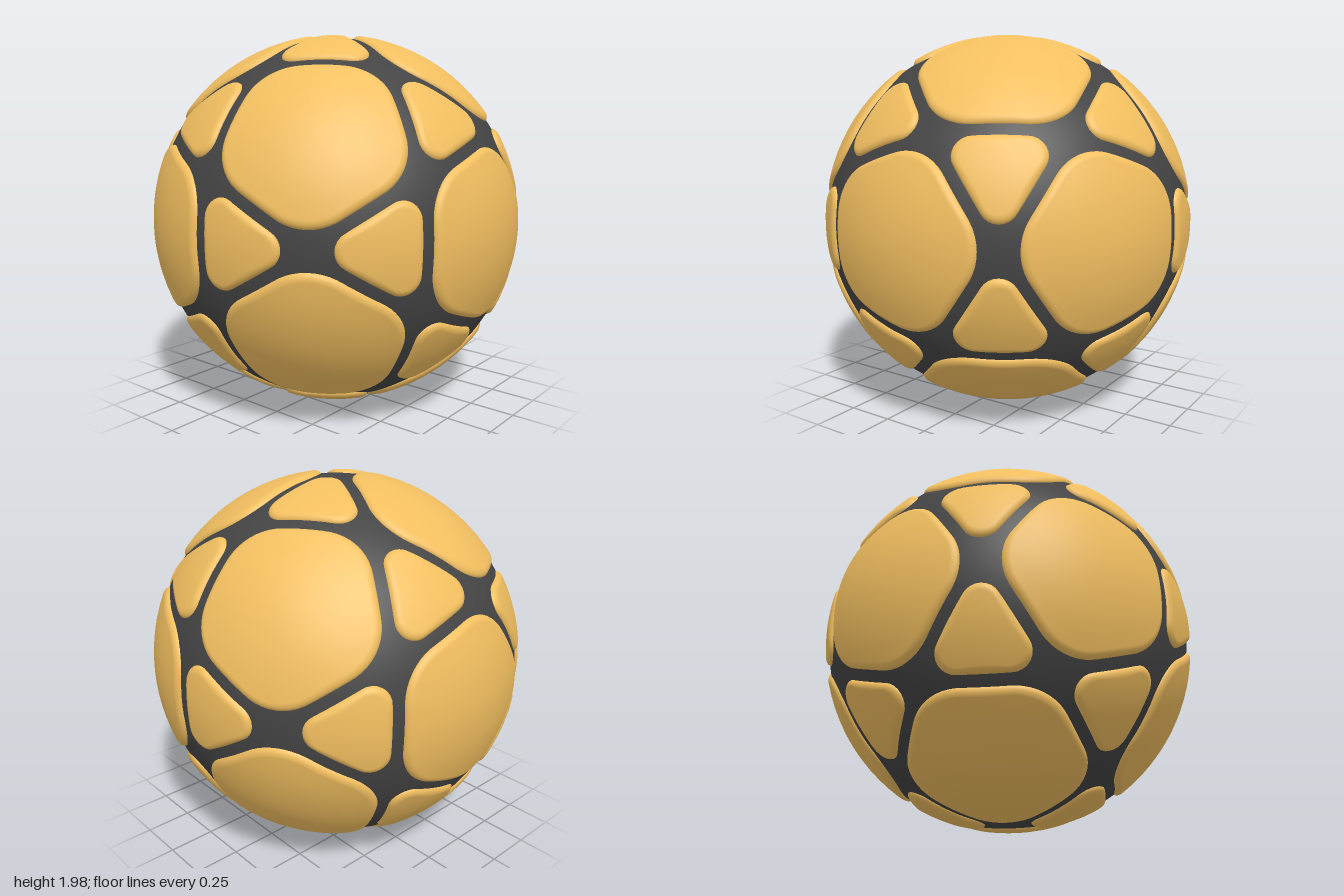
import * as THREE from 'three';

const SEAM_R = 0.98;   // dark core radius
const TILE_R = 1.0;    // outer tile radius
const FOOT_R = 0.972;  // tile rim, tucked just under the core
const BEVEL = 0.042;   // angular width of the rounded rim

// Distance from the centre to a rounded regular polygon with a corner at angle 0
function outline(angle, sides, inradius, corner) {
  const half = Math.PI / sides;
  let a = angle % (2 * half);
  if (a > half) a = 2 * half - a;            // 0 = corner, half = middle of an edge
  const miter = inradius / Math.cos(half);
  const r = (miter - corner) / (1 / Math.cos(half) - 1); // corner rounding radius
  const c = miter - r / Math.cos(half);      // centre of the corner arc
  const edge = inradius / Math.cos(half - a);
  // the straight edge begins where the arc touches it
  const touchX = c + r * Math.cos(half), touchY = r * Math.sin(half);
  if (a > Math.atan2(touchY, touchX)) return edge;
  return c * Math.cos(a) + Math.sqrt(r * r - (c * Math.sin(a)) ** 2);
}

// Domed tile around +z, its first corner towards +x
function tileGeometry(sides, edgeAngle, cornerAngle, segments) {
  const inradius = Math.tan(edgeAngle), corner = Math.tan(cornerAngle);
  const inner = 6, rim = 9, rings = inner + rim;
  const pos = [0, 0, TILE_R], index = [];
  for (let k = 1; k <= rings; k++) {
    for (let j = 0; j < segments; j++) {
      const a = (j / segments) * Math.PI * 2;
      const reach = Math.atan(outline(a, sides, inradius, corner)) + 0.003;
      let theta, radius = TILE_R;
      if (k <= inner) theta = (reach - BEVEL) * k / inner;
      else {
        const q = ((k - inner) / rim) * Math.PI / 2; // quarter-ellipse rim
        theta = reach - BEVEL + BEVEL * Math.sin(q);
        radius = FOOT_R + (TILE_R - FOOT_R) * Math.cos(q);
      }
      pos.push(radius * Math.sin(theta) * Math.cos(a), radius * Math.sin(theta) * Math.sin(a), radius * Math.cos(theta));
      const n = (j + 1) % segments, o = 1 + (k - 1) * segments, i = o - segments;
      if (k === 1) index.push(0, o + j, o + n);
      else index.push(i + j, o + j, o + n, i + j, o + n, i + n);
    }
  }
  const g = new THREE.BufferGeometry();
  g.setAttribute('position', new THREE.Float32BufferAttribute(pos, 3));
  g.setIndex(index);
  g.computeVertexNormals();
  return g;
}

// Twelve five-fold axes, one of them facing the front
function fiveFoldAxes() {
  const axes = [new THREE.Vector3(0, 0, 1)];
  for (let k = 0; k < 5; k++) {
    const a = k * Math.PI * 2 / 5;
    axes.push(new THREE.Vector3(2 * Math.cos(a), 2 * Math.sin(a), 1).normalize());
  }
  return axes.concat(axes.map(v => v.clone().negate()));
}

export function createModel() {
  const model = new THREE.Group();
  model.name = 'ball';
  const ball = new THREE.Group();
  ball.name = 'shell';
  model.add(ball);
  const gold = new THREE.MeshStandardMaterial({ color: 0xf2bf60 });
  const dark = new THREE.MeshStandardMaterial({ color: 0x444444 });

  // Dark core showing through the gaps
  const core = new THREE.Mesh(new THREE.SphereGeometry(SEAM_R, 128, 80), dark);
  core.name = 'seamCore';
  ball.add(core);

  const pentagon = tileGeometry(5, 0.4225, 0.4556, 80);
  const triangle = tileGeometry(3, 0.169, 0.242, 60);

  // Places a tile at a centre direction, one corner turned towards a target
  function addTile(geometry, name, centre, target) {
    const z = centre.clone().normalize();
    const x = target.clone().addScaledVector(z, -target.dot(z)).normalize();
    const y = new THREE.Vector3().crossVectors(z, x);
    const mesh = new THREE.Mesh(geometry, gold);
    mesh.name = name;
    mesh.quaternion.setFromRotationMatrix(new THREE.Matrix4().makeBasis(x, y, z));
    ball.add(mesh);
  }

  const axes = fiveFoldAxes();
  const near = (a, b) => a !== b && a.dot(b) > 0.4;
  let triangles = 0;
  axes.forEach((a, i) => {
    // Large pentagonal tiles
    addTile(pentagon, `pentagonTile${i + 1}`, a, axes.find(b => near(a, b)));
    // Small triangular tiles between each three neighbouring pentagons
    for (let j = i + 1; j < axes.length; j++) {
      for (let k = j + 1; k < axes.length; k++) {
        const b = axes[j], c = axes[k];
        if (!near(a, b) || !near(b, c) || !near(a, c)) continue;
        const centre = a.clone().add(b).add(c);
        addTile(triangle, `triangleTile${++triangles}`, centre, a.clone().add(b));
      }
    }
  });

  // Stand the ball on the ground
  ball.position.y = -new THREE.Box3().setFromObject(ball, true).min.y;
  return model;
}
